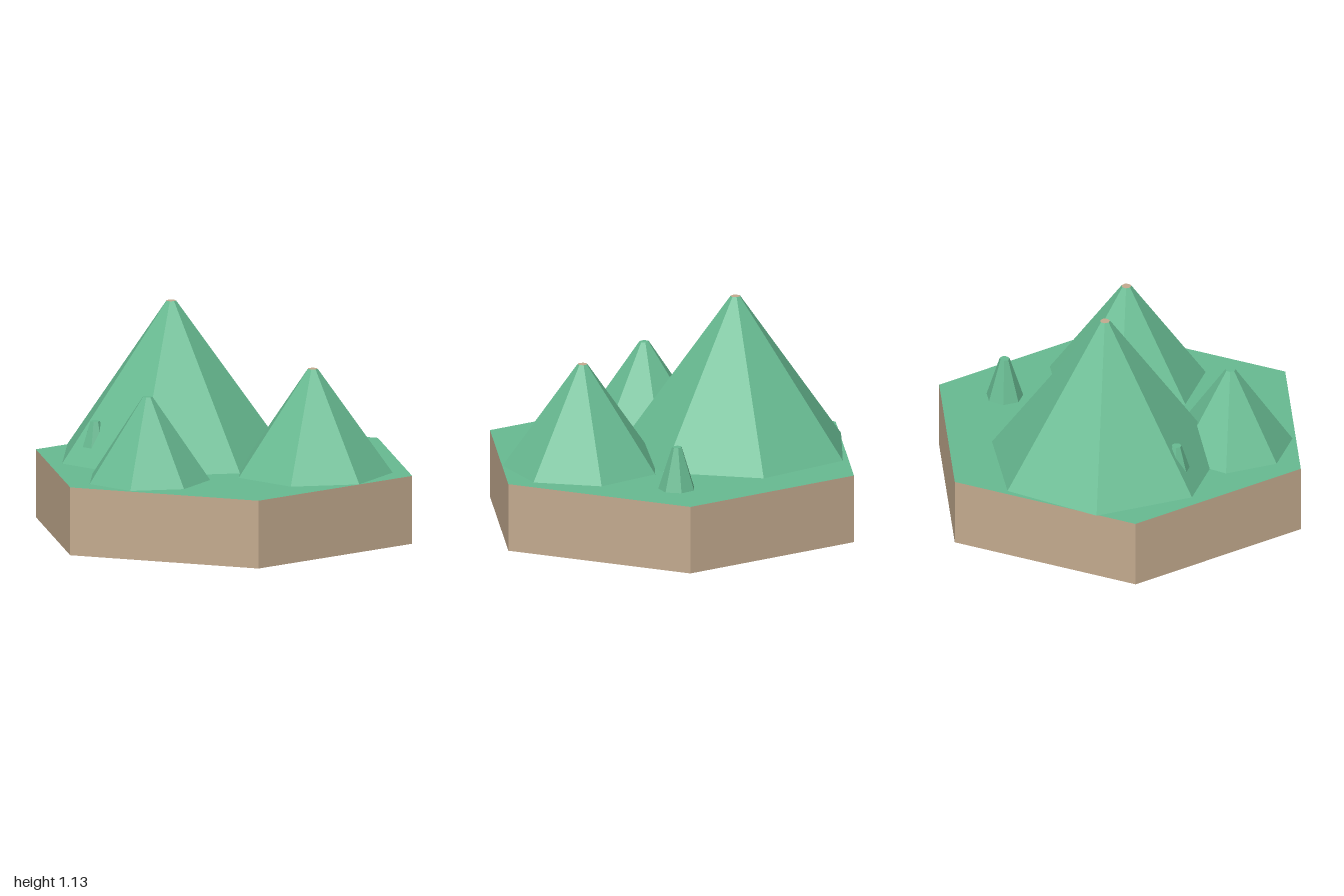
import * as THREE from 'three';

export function createModel() {
  const model = new THREE.Group();
  model.name = 'hexHillTile';

  const grass = new THREE.MeshStandardMaterial({ color: 0x68bb92 });
  grass.name = 'grassGreen';
  const earth = new THREE.MeshStandardMaterial({ color: 0xc4ab8f });
  earth.name = 'earthTan';

  const BASE = 0.345;

  // Faceted prism or frustum; materials are ordered side, top, bottom
  function frustum(name, sides, rTop, rBottom, y0, y1, materials) {
    const indexed = new THREE.CylinderGeometry(rTop, rBottom, y1 - y0, sides);
    const geometry = indexed.toNonIndexed();
    geometry.computeVertexNormals();
    const mesh = new THREE.Mesh(geometry, materials);
    mesh.name = name;
    mesh.position.y = (y0 + y1) / 2;
    model.add(mesh);
    return mesh;
  }

  // Hexagonal slab with a grass top and earth sides
  frustum('hexBase', 6, 1, 1, 0, BASE, [earth, grass, earth]);

  // Seven-sided hills and trees, each with one corner pointing back
  const cones = [
    { name: 'largeHill', x: -0.225, z: -0.245, r: 0.59, top: 1.13, cap: earth },
    { name: 'mediumHill', x: 0.395, z: 0.31, r: 0.4, top: 0.87, cap: earth },
    { name: 'smallHill', x: -0.45, z: 0.36, r: 0.313, top: 0.765, cap: grass },
    { name: 'rightTree', x: 0.585, z: -0.297, r: 0.094, top: 0.56, cap: grass },
    { name: 'leftTree', x: -0.637, z: -0.095, r: 0.094, top: 0.56, cap: grass },
  ];
  for (const c of cones) {
    const cone = frustum(c.name, 7, 0.025, c.r, BASE, c.top, [grass, c.cap, grass]);
    cone.position.x = c.x;
    cone.position.z = c.z;
    cone.rotation.y = Math.PI;
  }

  return model;
}
